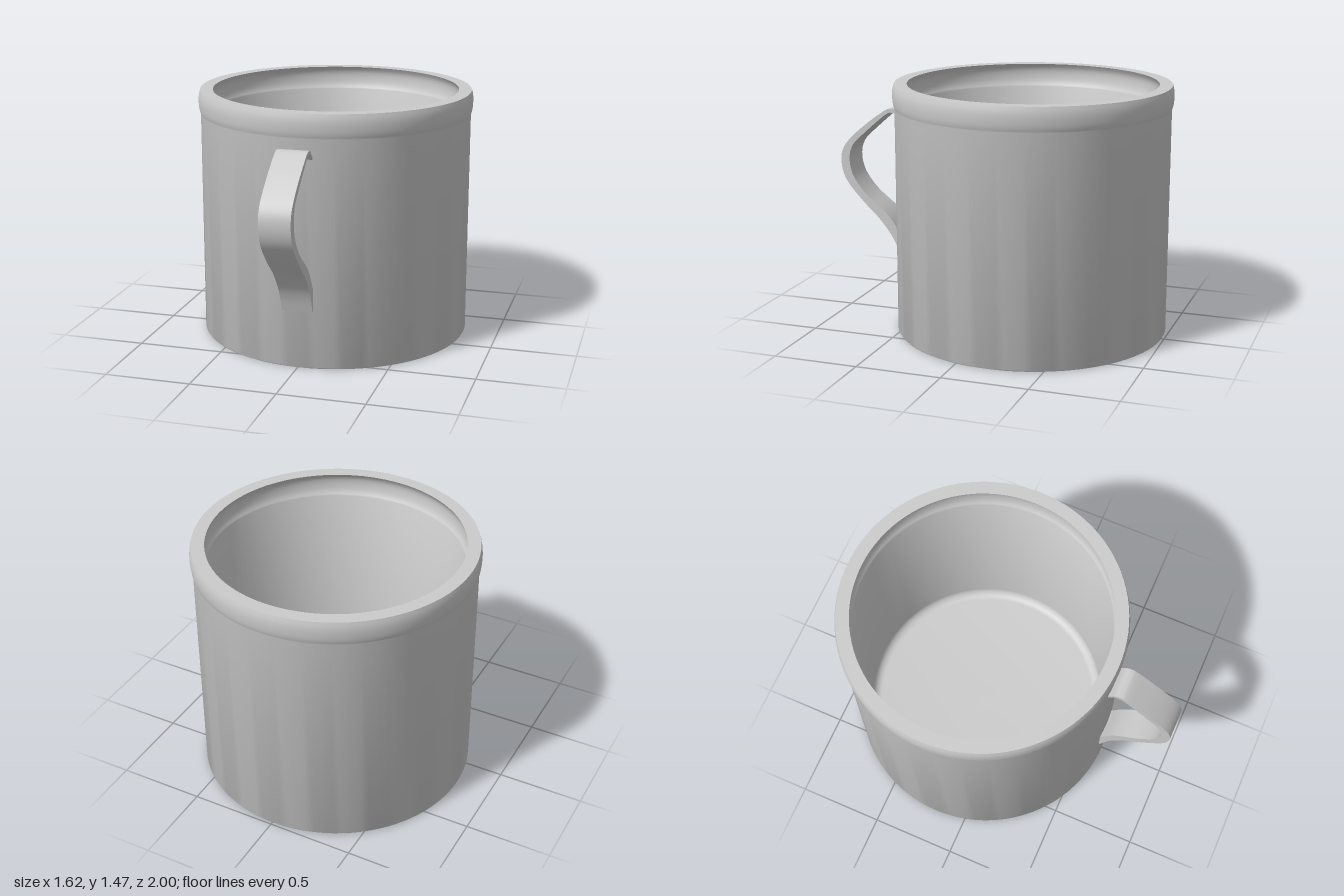
import * as THREE from 'three';
import { toCreasedNormals } from 'three/addons/utils/BufferGeometryUtils.js';

const vectors = (pairs) => pairs.map(([a, b]) => new THREE.Vector2(a, b));

export function createModel() {
  const group = new THREE.Group();
  const material = new THREE.MeshStandardMaterial({ color: 0xcccccc });

  const addPart = (name, geometry, crease) => {
    const mesh = new THREE.Mesh(toCreasedNormals(geometry, crease), material);
    mesh.name = name;
    group.add(mesh);
    return mesh;
  };

  // Bulging rim band: the same soft curve outside (going up) and inside (going down)
  const bulge = (radius, swell, lip) => new THREE.SplineCurve(vectors([
    [radius, 1.325], [radius + swell * 0.7, 1.355], [radius + swell, 1.4],
    [radius + swell * 0.8, 1.435], [lip, 1.465],
  ])).getPoints(12);

  // Rounded corner where the inner wall meets the floor
  const floorCorner = [];
  for (let i = 0; i <= 8; i++) {
    const a = (i / 8) * Math.PI / 2;
    floorCorner.push([0.67 + 0.055 * Math.cos(a), 0.125 - 0.055 * Math.sin(a)]);
  }

  // Cup body: base, outer wall, rim, inner wall and floor in one profile
  const profile = [
    ...vectors([[0, 0], [0.793, 0], [0.798, 0.008]]),
    ...bulge(0.798, 0.012, 0.8),
    ...bulge(0.725, 0.022, 0.725).reverse(),
    ...vectors(floorCorner),
    new THREE.Vector2(0, 0.07),
  ];
  const cup = addPart('cupBody', new THREE.LatheGeometry(profile, 96), 0.6);
  cup.position.z = -0.19;

  // Handle: a flat strap, drawn from the side as (z, y) and extruded across x
  const outer = vectors([
    [0.61, 1.235], [0.635, 1.264], [0.665, 1.274], [0.715, 1.257], [0.865, 1.145],
    [0.97, 1.04], [1, 0.945], [0.97, 0.825], [0.865, 0.7], [0.76, 0.6],
    [0.68, 0.5], [0.64, 0.425], [0.61, 0.34],
  ]);
  const inner = vectors([
    [0.61, 0.49], [0.665, 0.58], [0.73, 0.65], [0.84, 0.74], [0.92, 0.845],
    [0.945, 0.95], [0.92, 1.04], [0.84, 1.12], [0.705, 1.235], [0.66, 1.25],
    [0.632, 1.24], [0.61, 1.215],
  ]);
  const strap = new THREE.Shape([
    new THREE.Vector2(0.59, 1.225),
    ...new THREE.SplineCurve(outer).getPoints(60),
    new THREE.Vector2(0.595, 0.34),
    new THREE.Vector2(0.595, 0.47),
    ...new THREE.SplineCurve(inner).getPoints(60),
    new THREE.Vector2(0.59, 1.205),
  ]);
  const handle = new THREE.ExtrudeGeometry(strap, { depth: 0.18, bevelEnabled: false });
  handle.translate(0, 0, -0.09);
  handle.rotateY(-Math.PI / 2);
  addPart('handle', handle, 0.6);

  return group;
}
